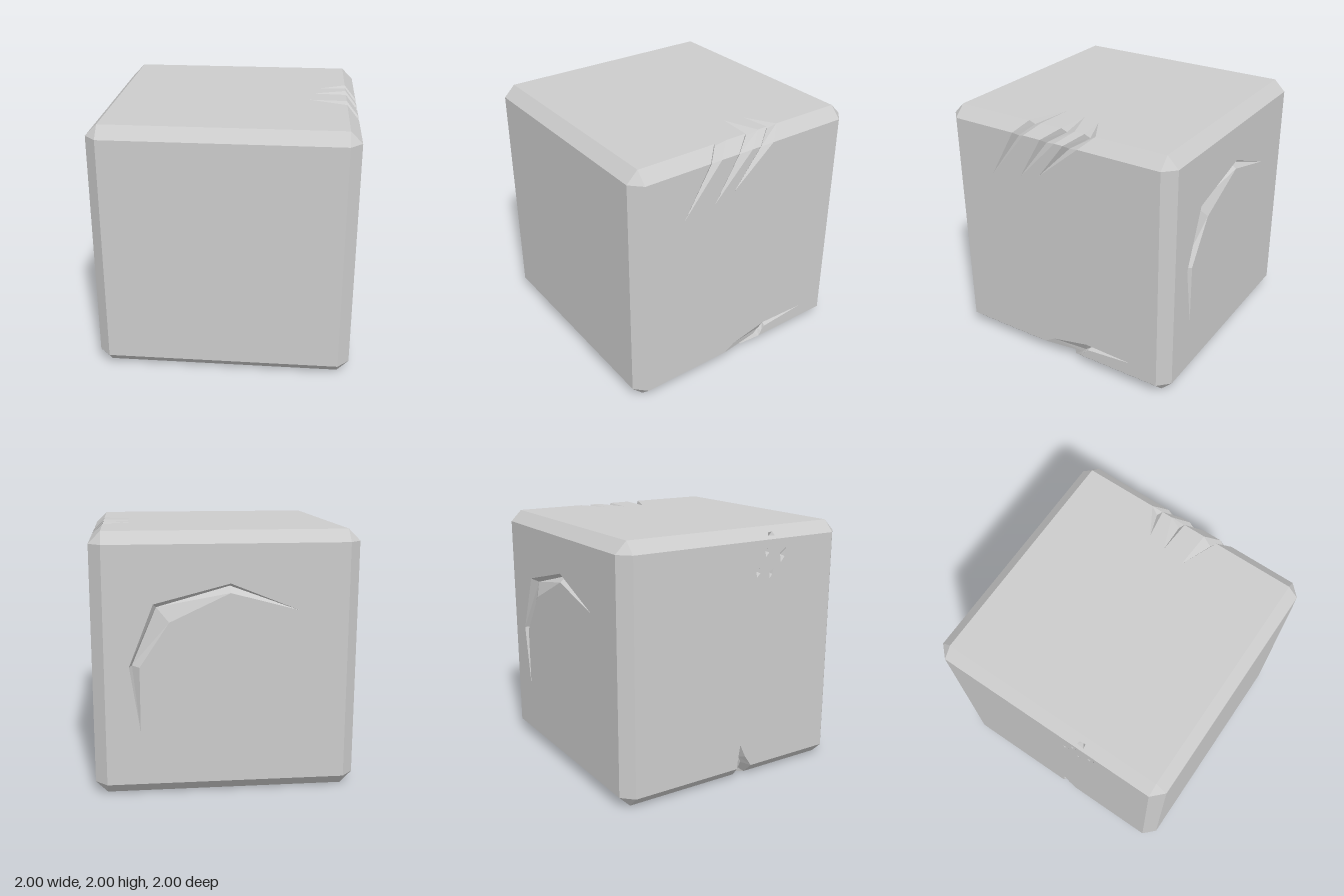
import * as THREE from 'three';

const C = 0.91; // where the flat faces end and the bevels begin
const V = (x, y, z) => new THREE.Vector3(x, y - 1, z); // height measured from the ground
const AX = ['x', 'y', 'z'];

function meshFrom(tris, name, side = THREE.FrontSide) {
  const geo = new THREE.BufferGeometry().setFromPoints(tris);
  geo.computeVertexNormals();
  const mat = new THREE.MeshStandardMaterial({ color: 0xcccccc, flatShading: true, side });
  const mesh = new THREE.Mesh(geo, mat);
  mesh.name = name;
  mesh.position.y = 1;
  return mesh;
}

// Flat polygon with holes, wound to face along n; axis "drop" is ignored when flattening
function polygon(out, outline, holes, n, drop) {
  const [u, v] = AX.filter((_, i) => i !== drop);
  const flat = (pts) => pts.map((p) => new THREE.Vector2(p[u], p[v]));
  const all = [outline, ...holes].flat();
  for (const [i, j, k] of THREE.ShapeUtils.triangulateShape(flat(outline), holes.map(flat))) {
    const a = all[i], b = all[j], c = all[k];
    const facing = b.clone().sub(a).cross(c.clone().sub(a)).dot(n);
    out.push(a, ...(facing > 0 ? [b, c] : [c, b]));
  }
}

// Grooves are rows of [outer rim, valley, inner rim]; a single point is a pointed tip
const row = (...p) => (p.length === 1 ? [p[0], p[0], p[0]] : p);
const pit = (a, b, c, d, valley) => [row(a), row(b, valley, d), row(c)];

function makeGrooves() {
  const g = { topClawMark: [], bottomGouge: [], backGouge: [], chips: [] };

  // Three claw marks over the top edge of the left side
  for (const [z0, y0, o1, i1, o2, i2, x3, z3] of [
    [0.576, 1.523, 0.356, 0.255, 0.26, 0.15, 0.613, 0.134],
    [0.303, 1.566, 0.1, -0.03, -0.03, -0.15, 0.64, -0.048],
    [0.126, 1.614, -0.105, -0.23, -0.235, -0.33, 0.683, -0.2],
  ]) g.topClawMark.push([
    row(V(1, y0, z0)),
    row(V(1, 1.91, o1), V(0.965, 1.885, o1 - 0.035), V(1, 1.91, i1)),
    row(V(C, 2, o2), V(0.88, 1.965, o2 - 0.03), V(C, 2, i2)),
    row(V(x3, 2, z3)),
  ]);

  // Wide gouge over the bottom edge of the left side
  g.bottomGouge.push([
    row(V(1, 0.206, -0.67)),
    row(V(1, 0.217, -0.265), V(0.96, 0.178, -0.29), V(1, 0.168, -0.276)),
    row(V(1, 0.147, 0.056), V(0.96, 0.135, -0.235), V(1, 0.13, -0.247)),
    row(V(1, 0.09, 0.15), V(0.96, 0.1, -0.2), V(1, 0.09, -0.217)),
    row(V(C, 0, 0.335), V(0.89, 0.025, -0.075), V(C, 0, -0.09)),
    row(V(0.73, 0, 0.33), V(0.755, 0.03, 0.07), V(0.74, 0, 0.034)),
  ]);

  // Crescent gouge on the back
  g.backGouge.push([
    row(V(0.65, 0.51, -1)),
    row(V(0.727, 1.01, -1), V(0.705, 1.01, -0.94), V(0.65, 1.005, -1)),
    row(V(0.544, 1.476, -1), V(0.52, 1.445, -0.94), V(0.428, 1.339, -1)),
    row(V(-0.024, 1.62, -1), V(-0.024, 1.595, -0.94), V(-0.024, 1.55, -1)),
    row(V(-0.535, 1.413, -1)),
  ]);

  // Small chips on the right side, near the top
  for (const [z, y, w, h] of [
    [0.26, 1.82, 0.025, 0.04], [0.41, 1.78, 0.03, 0.055],
    [0.18, 1.67, 0.025, 0.04], [0.3, 1.65, 0.02, 0.035],
  ]) g.chips.push(pit(V(-1, y + h, z + w), V(-1, y + h * 0.3, z - w), V(-1, y - h, z - w * 0.6),
    V(-1, y - h * 0.2, z + w * 0.6), V(-0.965, y, z)));

  // Chip on the upper bevel
  g.chips.push(pit(V(-0.975, 1.935, 0.28), V(-0.955, 1.955, 0.29), V(-0.95, 1.96, 0.335),
    V(-0.98, 1.93, 0.34), V(-0.94, 1.925, 0.31)));

  // Notch through the lower bevel of the right side
  g.chips.push([
    row(V(-1, 0.29, 0.05)),
    row(V(-1, 0.17, 0.03), V(-0.95, 0.17, 0.07), V(-1, 0.18, 0.1)),
    row(V(-1, 0.09, 0.02), V(-0.94, 0.11, 0.1), V(-1, 0.09, 0.16)),
    row(V(-C, 0, 0.05), V(-0.88, 0.05, 0.1), V(-C, 0, 0.16)),
    row(V(-0.86, 0, 0.09)),
  ]);

  // Chips underneath
  g.chips.push(pit(V(-0.39, 0, 0.25), V(-0.38, 0, 0.14), V(-0.52, 0, 0.13), V(-0.5, 0, 0.23), V(-0.45, 0.05, 0.18)));
  g.chips.push([
    row(V(-0.64, 0, 0.5)),
    row(V(-0.63, 0, 0.39), V(-0.66, 0.05, 0.42), V(-0.69, 0, 0.44)),
    row(V(-0.78, 0, 0.36), V(-0.77, 0.05, 0.41), V(-0.75, 0, 0.45)),
    row(V(-0.83, 0, 0.48), V(-0.79, 0.05, 0.49), V(-0.75, 0, 0.5)),
    row(V(-0.75, 0, 0.55)),
  ]);
  return g;
}

// Walls of one groove, with a closing triangle where the end is blunt
function grooveWalls(rows) {
  const out = [];
  const tri = (a, b, c) => { if (a !== b && b !== c && a !== c) out.push(a, b, c); };
  for (let i = 1; i < rows.length; i++) for (let k = 0; k < 2; k++) {
    const p = rows[i - 1], q = rows[i];
    tri(p[k], p[k + 1], q[k + 1]);
    tri(p[k], q[k + 1], q[k]);
  }
  tri(...rows.at(-1));
  return out;
}

// Opening that each groove leaves in the plane n.p = d
function openings(grooves, n, d) {
  const on = (p) => Math.abs(p.dot(n) - d) < 1e-5;
  return grooves.map((rows) => {
    const loop = [...rows.map((r) => r[0]), ...rows.map((r) => r[2]).reverse()];
    return [...new Set(loop)].filter(on);
  }).filter((loop) => loop.length > 2);
}

// Square face: openings on its border become notches, the others holes
function addFace(out, grooves, axis, s) {
  const n = new THREE.Vector3().setComponent(axis, s);
  const [u, v] = [(axis + 1) % 3, (axis + 2) % 3];
  const corners = [[-C, -C], [C, -C], [C, C], [-C, C]].map(([a, b]) =>
    new THREE.Vector3().setComponent(axis, s).setComponent(u, a).setComponent(v, b));
  const holes = openings(grooves, n, 1);
  const outline = [];
  corners.forEach((a, e) => {
    const dir = corners[(e + 1) % 4].clone().sub(a).normalize();
    const along = (p) => p.clone().sub(a).dot(dir);
    const onEdge = (p) => p.clone().sub(a).cross(dir).length() < 1e-5;
    const notches = [];
    for (let h = holes.length - 1; h >= 0; h--) {
      const loop = holes[h];
      const i = loop.findIndex((p, k) => onEdge(p) && onEdge(loop[(k + 1) % loop.length]));
      if (i < 0) continue;
      const path = [...loop.slice(i + 1), ...loop.slice(0, i + 1)];
      notches.push(along(path[0]) < along(path.at(-1)) ? path : path.reverse());
      holes.splice(h, 1);
    }
    notches.sort((p, q) => along(p[0]) - along(q[0]));
    outline.push(a, ...notches.flat());
  });
  polygon(out, outline, holes, n, axis);
}

// Bevel strip between two faces, split wherever a groove crosses it
function addBevel(out, grooves, a, b, sa, sb) {
  const c = 3 - a - b;
  const n = new THREE.Vector3().setComponent(a, sa).setComponent(b, sb);
  const end = (t) => [[1, C], [C, 1]].map(([p, q]) =>
    new THREE.Vector3().setComponent(a, sa * p).setComponent(b, sb * q).setComponent(c, t));
  const loops = openings(grooves, n, 1 + C);
  const reach = (p) => Math.abs(p.getComponent(a));
  const crosses = (l) => l.some((p) => reach(p) > 0.999) && l.some((p) => reach(p) < C + 0.001);
  const holes = loops.filter((l) => !crosses(l));
  const cuts = loops.filter(crosses).map((l) => {
    const pairs = [true, false].map((outer) => l.filter((p) => (reach(p) > 0.95) === outer)
      .sort((p, q) => p.getComponent(c) - q.getComponent(c)));
    return [0, 1].map((k) => [pairs[0][k], pairs[1][k]]);
  }).sort((p, q) => p[0][0].getComponent(c) - q[0][0].getComponent(c));
  let start = end(-C);
  for (const [lo, hi] of [...cuts, [end(C), null]]) {
    polygon(out, [start[0], start[1], lo[1], lo[0]], cuts.length ? [] : holes, n, a);
    start = hi;
  }
}

export function createModel() {
  const group = new THREE.Group();
  group.name = 'scratchedBlock';
  const marks = makeGrooves();
  const grooves = Object.values(marks).flat();
  const faces = [], bevels = [], S = [-1, 1];

  for (let a = 0; a < 3; a++) for (const s of S) {
    addFace(faces, grooves, a, s);
    for (let b = a + 1; b < 3; b++) for (const t of S) addBevel(bevels, grooves, a, b, s, t);
  }
  // Corner triangles
  for (const x of S) for (const y of S) for (const z of S) {
    const pts = [[1, C, C], [C, 1, C], [C, C, 1]].map(([i, j, k]) => new THREE.Vector3(x * i, y * j, z * k));
    polygon(bevels, pts, [], new THREE.Vector3(x, y, z), 0);
  }
  group.add(meshFrom(faces, 'blockFaces'), meshFrom(bevels, 'bevelledEdges'));

  for (const [name, list] of Object.entries(marks)) {
    group.add(meshFrom(list.flatMap(grooveWalls), name, THREE.DoubleSide));
  }
  return group;
}
